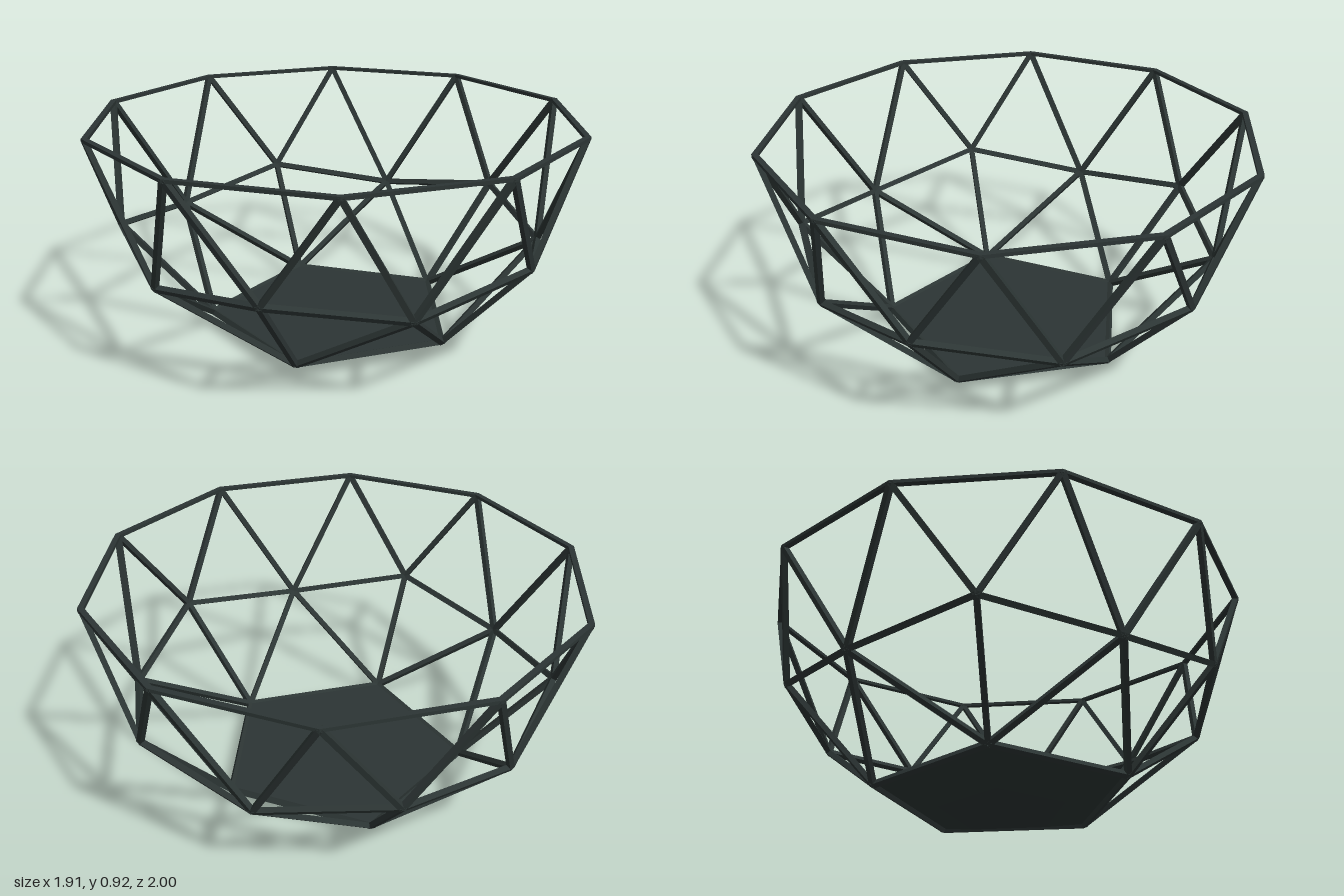
import * as THREE from 'three';

export function createModel() {
  const model = new THREE.Group();
  const metal = new THREE.MeshStandardMaterial({ color: 0x2c3534 });
  metal.name = 'dark metal';

  const R = 0.988, rimY = 0.911, thick = 0.022;
  const centre = new THREE.Vector3(0, rimY, 0);

  const add = (name, geometry, parent = model) => {
    const mesh = new THREE.Mesh(geometry, metal);
    mesh.name = name;
    parent.add(mesh);
    return mesh;
  };

  // Geodesic joints: a ring of points on the sphere, drop = depth below the rim
  const ring = (count, startDeg, drop) => {
    const r = R * Math.sqrt(1 - drop * drop);
    return Array.from({ length: count }, (_, i) => {
      const a = THREE.MathUtils.degToRad(startDeg + (i * 360) / count);
      return new THREE.Vector3(r * Math.cos(a), rimY - R * drop, r * Math.sin(a));
    });
  };
  const baseRing = ring(5, 180, 0.8507);
  const highRing = ring(5, 180, 0.4472);
  const lowRing = ring(5, 216, 0.5257);
  const rimRing = ring(10, 198, 0);

  // Square bar between two joints, one face turned outward from the sphere
  const struts = new THREE.Group();
  struts.name = 'lattice';
  model.add(struts);
  const strut = (name, a, b) => {
    const along = b.clone().sub(a);
    const length = along.length();
    along.normalize();
    const mid = a.clone().add(b).multiplyScalar(0.5);
    const side = along.clone().cross(mid.clone().sub(centre)).normalize();
    const out = side.clone().cross(along);
    const mesh = add(name, new THREE.BoxGeometry(thick, length, thick), struts);
    mesh.quaternion.setFromRotationMatrix(
      new THREE.Matrix4().makeBasis(side, along, out).transpose().invert().transpose()
    );
    // Basis columns are (side, along, out); flip side to keep it right-handed
    mesh.quaternion.setFromRotationMatrix(
      new THREE.Matrix4().makeBasis(along.clone().cross(out), along, out)
    );
    mesh.position.copy(mid);
  };

  for (let i = 0; i < 5; i++) {
    const n = (i + 1) % 5;
    strut('baseStrut', baseRing[i], baseRing[n]);
    strut('lowerStrut', baseRing[i], highRing[i]);
    strut('lowerStrut', baseRing[i], lowRing[i]);
    strut('lowerStrut', baseRing[n], lowRing[i]);
    strut('middleStrut', highRing[i], lowRing[i]);
    strut('middleStrut', lowRing[i], highRing[n]);
    strut('upperStrut', highRing[i], rimRing[2 * i]);
    strut('upperStrut', highRing[i], rimRing[(2 * i + 9) % 10]);
    strut('upperStrut', lowRing[i], rimRing[2 * i]);
    strut('upperStrut', lowRing[i], rimRing[2 * i + 1]);
  }

  // Ten-sided rim
  const rimProfile = [[0.976, -0.007], [1, -0.007], [1, 0.007], [0.976, 0.007], [0.976, -0.007]]
    .map(([x, y]) => new THREE.Vector2(x, y));
  const rimGeometry = new THREE.LatheGeometry(rimProfile, 10).toNonIndexed();
  rimGeometry.computeVertexNormals();
  add('rim', rimGeometry).position.y = rimY;

  // Solid five-sided foot, its top forming the bowl floor
  const footHeight = 0.078;
  const footGeometry = new THREE.CylinderGeometry(0.522, 0.265, footHeight, 5, 1, false, -Math.PI / 2)
    .toNonIndexed();
  footGeometry.computeVertexNormals();
  add('foot', footGeometry).position.y = footHeight / 2;

  return model;
}
